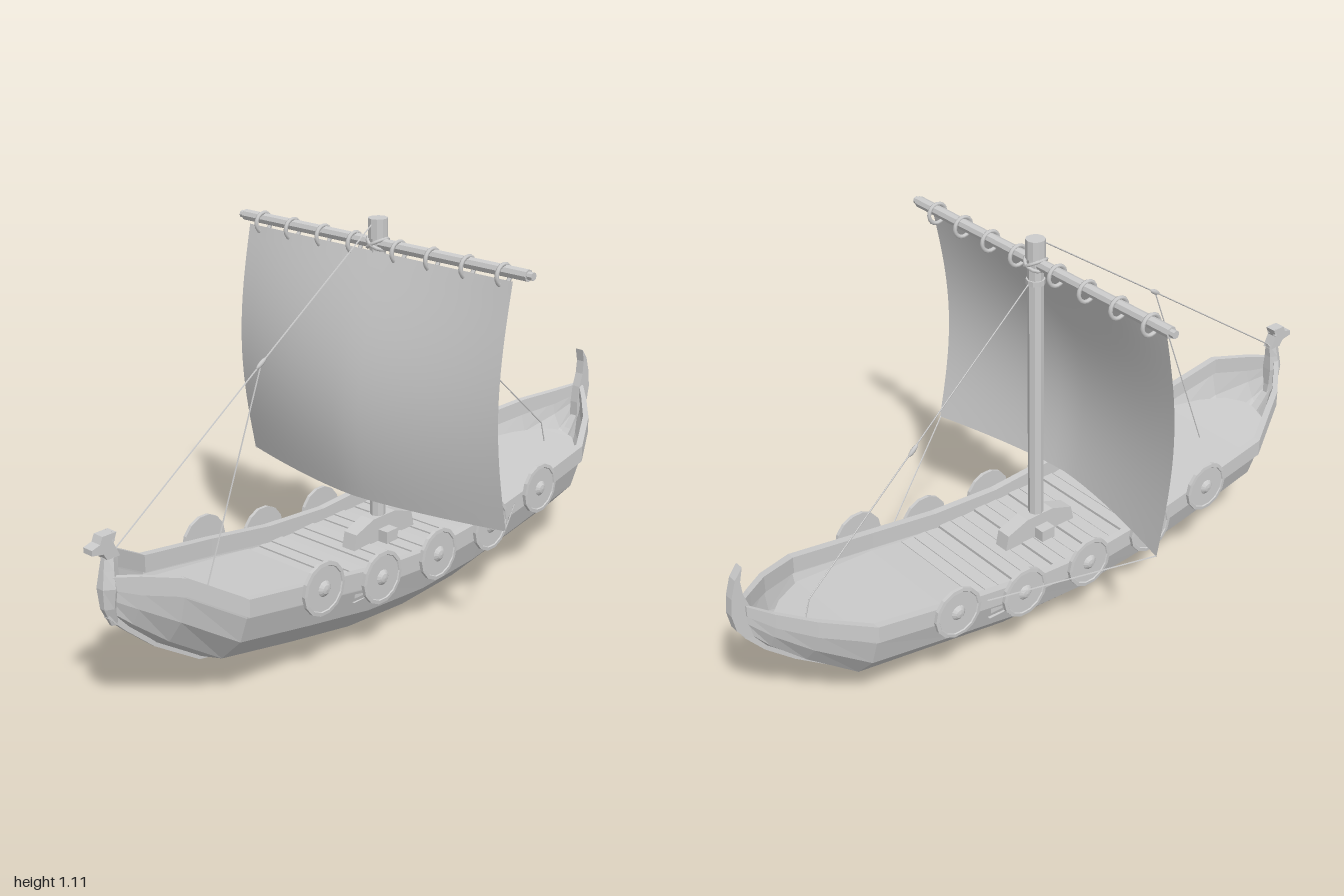
import * as THREE from 'three';

const flat = new THREE.MeshStandardMaterial({ color: 0xcccccc, flatShading: true, side: THREE.DoubleSide });
const smooth = new THREE.MeshStandardMaterial({ color: 0xcccccc, side: THREE.DoubleSide });
const V = (x, y, z) => new THREE.Vector3(x, y, z);

// Hull stations, bow to stern: z, sheer height, keel height, half width
const stations = [
  [0.95, 0.41, 0.31, 0.015], [0.9, 0.41, 0.26, 0.06], [0.82, 0.4, 0.19, 0.13], [0.68, 0.315, 0.1, 0.195], [0.44, 0.28, 0.055, 0.203],
  [0.22, 0.245, 0.018, 0.206], [0, 0.23, 0.006, 0.207], [-0.22, 0.245, 0.018, 0.206], [-0.44, 0.28, 0.055, 0.203],
  [-0.7, 0.325, 0.095, 0.195], [-0.83, 0.365, 0.19, 0.125], [-0.91, 0.39, 0.26, 0.06], [-0.96, 0.41, 0.32, 0.012],
];

// Half of a hull section: fraction of width, fraction of height
const halfSection = [[0.08, 0], [0.5, 0.1], [0.86, 0.42], [0.99, 0.76], [1.02, 1]];

function add(parent, name, geometry, material = flat) {
  const mesh = new THREE.Mesh(geometry, material);
  mesh.name = name;
  parent.add(mesh);
  return mesh;
}

// Skin over a row of cross-sections; closed sections are capped at both ends
function loft(sections, closed) {
  const n = sections[0].length, index = [];
  const points = sections.flat();
  for (let i = 0; i < sections.length - 1; i++) {
    for (let j = 0; j < (closed ? n : n - 1); j++) {
      const a = i * n + j, b = i * n + (j + 1) % n;
      index.push(a, b, a + n, b, b + n, a + n);
    }
  }
  if (closed) {
    const last = (sections.length - 1) * n;
    for (let j = 1; j < n - 1; j++) index.push(0, j + 1, j, last, last + j, last + j + 1);
  }
  const g = new THREE.BufferGeometry().setFromPoints(points);
  g.setIndex(index);
  g.computeVertexNormals();
  return g;
}

// Outline in the z-y plane, given a thickness across x
function sideCut(points, width) {
  const shape = new THREE.Shape(points.map(([z, y]) => new THREE.Vector2(z, y)));
  return new THREE.ExtrudeGeometry(shape, { depth: width, bevelEnabled: false })
    .rotateY(-Math.PI / 2).translate(width / 2, 0, 0);
}

function rod(parent, name, a, b, radius, sides = 6) {
  const mesh = add(parent, name, new THREE.CylinderGeometry(radius, radius, a.distanceTo(b), sides));
  mesh.position.copy(a).lerp(b, 0.5);
  mesh.quaternion.setFromUnitVectors(V(0, 1, 0), b.clone().sub(a).normalize());
  return mesh;
}

function buildHull(ship) {
  const hull = new THREE.Group();
  hull.name = 'hull';
  ship.add(hull);
  const sections = stations.map(([z, s, k, w]) => {
    const right = halfSection.map(([u, v]) => V(u * w, k + v * (s - k), z));
    return [...right.map(p => V(-p.x, p.y, p.z)).reverse(), ...right];
  });
  add(hull, 'planking', loft(sections, false));

  // Keel strip
  add(hull, 'keel', loft(stations.map(([z, , k, w]) => {
    const x = Math.min(0.02, 0.008 + w * 0.07), end = z * 0.008;
    return [V(-x, k - 0.006, z + end), V(x, k - 0.006, z + end), V(x, k + 0.02, z), V(-x, k + 0.02, z)];
  }), true));

  // Gunwale boards
  for (const side of [-1, 1]) {
    add(hull, 'gunwale', loft(stations.map(([z, s, k, w]) => {
      const out = side * (w * 1.02 + 0.006), inn = side * Math.max(0.003, w - 0.012), h = Math.min(0.045, (s - k) * 0.3);
      return [V(inn, s - h, z), V(out, s - h, z), V(out, s + 0.004, z), V(inn, s + 0.004, z)];
    }), true));
  }
}

function buildDeck(ship) {
  const deck = new THREE.Group();
  deck.name = 'deck';
  ship.add(deck);
  const strip = rows => loft(rows.map(([z, y, w]) => [V(-w, y, z), V(w, y, z)]), false);
  add(deck, 'foreDeck', strip([[0.3, 0.205, 0.2], [0.44, 0.222, 0.198], [0.68, 0.255, 0.185], [0.77, 0.27, 0.135], [0.83, 0.28, 0.08], [0.85, 0.285, 0.02]]));
  add(deck, 'aftDeck', strip([[-0.34, 0.205, 0.2], [-0.44, 0.222, 0.198], [-0.7, 0.255, 0.175], [-0.79, 0.27, 0.12], [-0.85, 0.28, 0.06], [-0.865, 0.285, 0.015]]));
  add(deck, 'deckBase', strip([[0.3, 0.17, 0.198], [-0.34, 0.17, 0.198]]));
  for (let i = 0; i < 15; i++) {
    const plank = add(deck, 'plank', new THREE.BoxGeometry(0.4, 0.016, 0.039));
    plank.position.set(0, 0.191 + 0.002 * (i % 3), 0.28 - i * 0.0427);
    plank.rotation.x = 0.02 * ((i * 7) % 3 - 1);
  }
}

function buildStems(ship) {
  // Bow post: height, back z, front z, half width
  const post = [[0.28, 0.92, 0.945, 0.01], [0.33, 0.925, 0.968, 0.02], [0.385, 0.922, 0.972, 0.03], [0.43, 0.922, 0.964, 0.022], [0.47, 0.918, 0.956, 0.015]];
  add(ship, 'bowPost', loft(post.map(([y, b, f, w]) => {
    const m = (b + f) / 2;
    return [V(-w * 0.5, y, b), V(-w, y, m), V(-w * 0.4, y, f), V(w * 0.4, y, f), V(w, y, m), V(w * 0.5, y, b)];
  }), true));
  add(ship, 'bowHead', sideCut([[0.918, 0.46], [0.956, 0.46], [0.967, 0.478], [1, 0.484], [1, 0.498], [0.975, 0.505], [0.967, 0.523], [0.925, 0.523], [0.935, 0.498]], 0.032));
  for (const x of [-0.012, 0.012]) {
    add(ship, 'bowCrest', new THREE.ConeGeometry(0.006, 0.025, 5)).position.set(x, 0.515, 0.935);
  }
  // Curled stern post
  add(ship, 'sternPost', sideCut([[-0.94, 0.31], [-0.965, 0.315], [-0.99, 0.35], [-1, 0.4], [-0.995, 0.45], [-0.98, 0.5], [-0.957, 0.53], [-0.966, 0.49], [-0.962, 0.45], [-0.948, 0.41], [-0.94, 0.36]], 0.026));
}

function buildShields(ship) {
  const profile = [[0, 0.013], [0.012, 0.011], [0.02, 0.005], [0.022, 0.003], [0.062, 0.003], [0.064, 0.006], [0.074, 0.005], [0.074, -0.005], [0, -0.005]];
  const shield = new THREE.LatheGeometry(profile.map(([r, y]) => new THREE.Vector2(r, y)), 14);
  const spots = [[0.44, 0.27], [0.22, 0.225], [-0.01, 0.215], [-0.24, 0.225], [-0.465, 0.27]];
  for (const side of [-1, 1]) {
    for (const [z, y] of spots) {
      const mesh = add(ship, 'shield', shield);
      mesh.position.set(side * 0.223, y, z);
      mesh.rotation.z = -side * Math.PI / 2;
    }
  }
}

function buildRig(ship) {
  const rig = new THREE.Group();
  rig.name = 'rig';
  ship.add(rig);
  const mz = -0.012;

  // Mast with collared head and foot
  rod(rig, 'mast', V(0, 0.19, mz), V(0, 1.06, mz), 0.022, 8);
  rod(rig, 'mastHead', V(0, 1.06, mz), V(0, 1.113, mz), 0.027, 10);
  rod(rig, 'mastCollar', V(0, 0.985, mz), V(0, 1.0, mz), 0.026, 10);
  add(rig, 'mastFoot', sideCut([[0.11, 0.2], [0.1, 0.245], [0.03, 0.27], [-0.06, 0.27], [-0.13, 0.245], [-0.14, 0.2]], 0.045));
  add(rig, 'mastStep', new THREE.BoxGeometry(0.11, 0.035, 0.045)).position.set(0, 0.217, mz);

  // Yard, its lashing and the sail rings
  rod(rig, 'yard', V(-0.5, 1.045, -0.01), V(0.5, 1.045, -0.01), 0.016, 8);
  for (const s of [-1, 1]) rod(rig, 'yardEnd', V(s * 0.5, 1.045, -0.01), V(s * 0.515, 1.045, -0.01), 0.011, 8);
  for (const tilt of [-0.5, 0.5]) {
    const lashing = add(rig, 'lashing', new THREE.TorusGeometry(0.03, 0.005, 6, 14), smooth);
    lashing.position.set(0, 1.045, mz);
    lashing.rotation.set(Math.PI / 2, tilt, 0);
  }
  for (const x of [0.078, 0.193, 0.31, 0.425]) {
    for (const s of [-1, 1]) {
      const ring = add(rig, 'sailRing', new THREE.TorusGeometry(0.028, 0.006, 6, 16), smooth);
      ring.position.set(s * x, 1.034, -0.006);
      ring.rotation.y = Math.PI / 2;
    }
  }

  // Sail bellied towards the bow
  const sail = new THREE.PlaneGeometry(0.93, 0.67, 20, 20);
  const p = sail.attributes.position;
  for (let i = 0; i < p.count; i++) {
    const u = Math.abs(p.getX(i)) / 0.465, v = 0.5 - p.getY(i) / 0.67;
    const belly = 0.085 * (1 - u ** 1.5) * Math.sin(v * Math.PI / 2);
    p.setZ(i, 0.008 + 0.045 * Math.sin(Math.PI * v) + belly);
    p.setY(i, p.getY(i) + 0.692);
  }
  sail.computeVertexNormals();
  add(rig, 'sail', sail, smooth);

  // Stays, sheets and blocks
  const rope = (a, b) => rod(rig, 'rope', a, b, 0.002, 5);
  const block = (at, along) => {
    const mesh = add(rig, 'block', new THREE.SphereGeometry(0.008, 8, 6), smooth);
    mesh.position.copy(at);
    mesh.scale.set(0.7, 2.6, 0.9);
    mesh.quaternion.setFromUnitVectors(V(0, 1, 0), along.clone().normalize());
  };
  const joint = V(0, 0.815, 0.425);
  rope(V(0, 1.1, 0.01), joint);
  rope(joint, V(0, 0.465, 0.93));
  rope(joint, V(0, 0.25, 0.64));
  block(joint, V(0, 0.65, -1));
  rope(V(0, 0.995, -0.03), V(0, 0.26, -0.77).setY(0.335));
  rope(V(0, 0.335, -0.77), V(0, 0.265, -0.79));
  block(V(0, 0.64, -0.425), V(0, -0.9, -1));
  for (const s of [-1, 1]) rope(V(s * 0.463, 0.358, 0.01), V(s * 0.215, 0.25, -0.36));
}

export function createModel() {
  const ship = new THREE.Group();
  ship.name = 'longship';
  buildHull(ship);
  buildDeck(ship);
  buildStems(ship);
  buildShields(ship);
  buildRig(ship);
  return ship;
}
